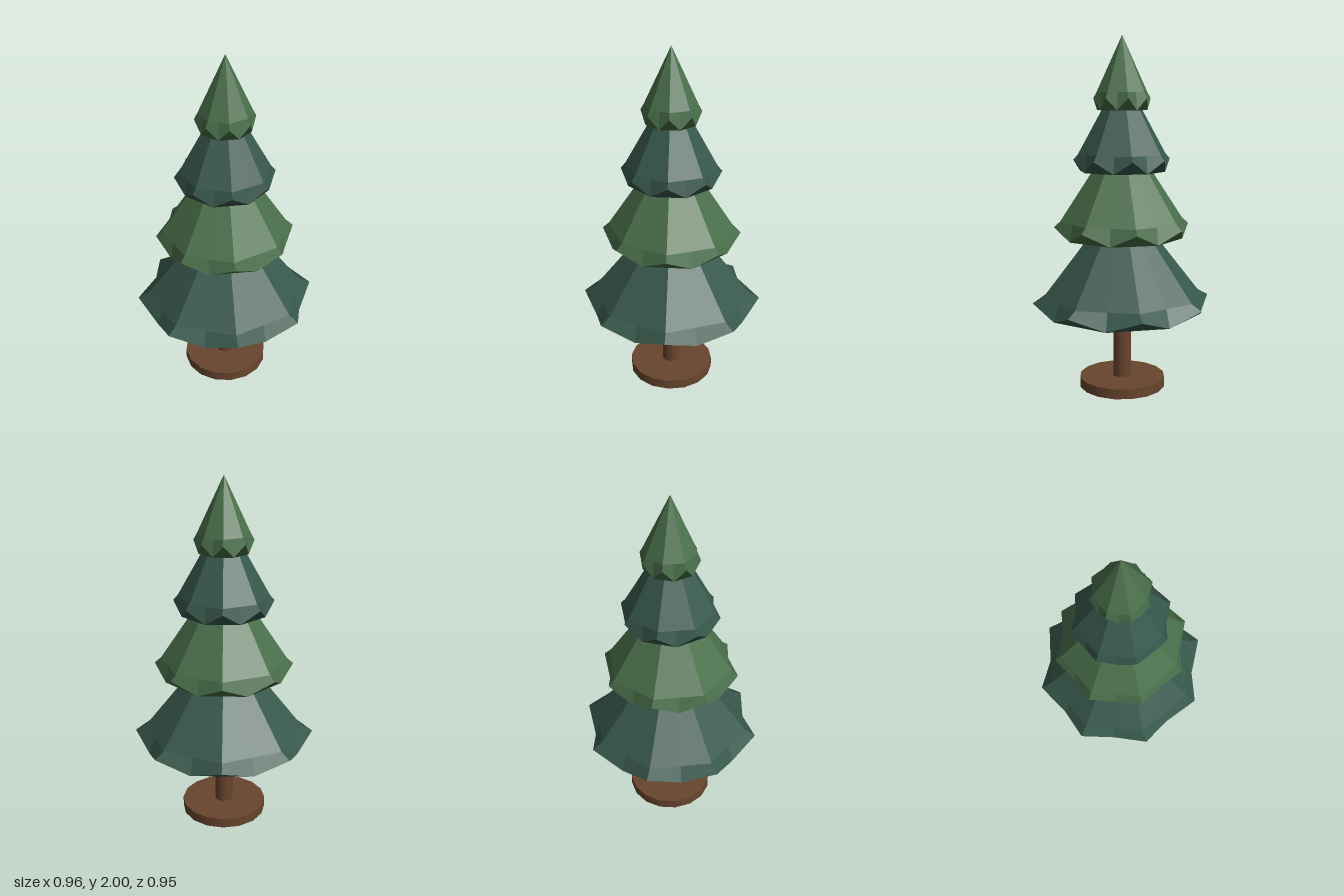
import * as THREE from 'three';

const mat = (color) => new THREE.MeshStandardMaterial({ color });
const TEAL = mat(0x38594d), GREEN = mat(0x4a704b), BROWN = mat(0x68452d);
const DEPTH = 0.985; // boughs are slightly shallower than wide
const DOWN = new THREE.Vector3(0, -1, 0);

// One even normal for a triangle or slightly bent quad
function faceNormal([p0, p1, p2, p3 = p0]) {
  return p2.clone().sub(p0).cross(p3.clone().sub(p1)).normalize();
}

// Eight-sided bough tier: cone, then a flared hem with raised tips and low valleys
function tierGeometry({ base, apex, tipR, valleyR, hemR, hemY, tipY }) {
  const position = [], normal = [];
  const face = (pts, n = faceNormal(pts)) => {
    for (let k = 1; k < pts.length - 1; k++)
      for (const p of [pts[0], pts[k], pts[k + 1]]) {
        position.push(p.x, p.y, p.z);
        normal.push(n.x, n.y, n.z);
      }
  };
  const at = (i, r, y) => {
    const a = (i * Math.PI) / 8;
    return new THREE.Vector3(r * Math.sin(a), y, r * Math.cos(a) * DEPTH);
  };
  const midR = hemR * Math.cos(Math.PI / 8);
  const top = new THREE.Vector3(0, apex, 0);
  const valleys = [];
  for (let i = 0; i < 16; i += 2) {
    const v0 = at(i, valleyR, base), tip = at(i + 1, tipR, tipY), v1 = at(i + 2, valleyR, base);
    const m0 = at(i, midR, hemY), ridge = at(i + 1, hemR, hemY), m1 = at(i + 2, midR, hemY);
    // cone panels either side of the ridge
    face([m0, ridge, top]);
    face([ridge, m1, top]);
    // hem, then the underside of the tip
    face([tip, ridge, m0, v0]);
    face([tip, v1, m1, ridge]);
    face([v0, v1, tip], DOWN);
    valleys.unshift(v0);
  }
  // flat underside
  face(valleys, DOWN);

  const geo = new THREE.BufferGeometry();
  geo.setAttribute('position', new THREE.Float32BufferAttribute(position, 3));
  geo.setAttribute('normal', new THREE.Float32BufferAttribute(normal, 3));
  return geo;
}

export function createModel() {
  const tree = new THREE.Group();
  tree.name = 'tree';
  const add = (name, geo, material, y = 0) => {
    const mesh = new THREE.Mesh(geo, material);
    mesh.name = name;
    mesh.position.y = y;
    tree.add(mesh);
  };

  // Stand and trunk
  add('stand', new THREE.CylinderGeometry(0.247, 0.247, 0.057, 16), BROWN, 0.0285);
  add('trunk', new THREE.CylinderGeometry(0.052, 0.052, 0.42, 16), BROWN, 0.25);

  // Bough tiers, bottom to top
  [
    { base: 0.445, apex: 1.125, tipR: 0.522, valleyR: 0.457, hemR: 0.46, hemY: 0.545, tipY: 0.512 },
    { base: 0.876, apex: 1.51, tipR: 0.396, valleyR: 0.349, hemR: 0.36, hemY: 0.973, tipY: 0.943 },
    { base: 1.25, apex: 1.8, tipR: 0.281, valleyR: 0.248, hemR: 0.255, hemY: 1.347, tipY: 1.318 },
    { base: 1.59, apex: 2, tipR: 0.165, valleyR: 0.145, hemR: 0.147, hemY: 1.688, tipY: 1.656 },
  ].forEach((t, i) => add(`boughTier${i + 1}`, tierGeometry(t), i % 2 ? GREEN : TEAL));

  return tree;
}
